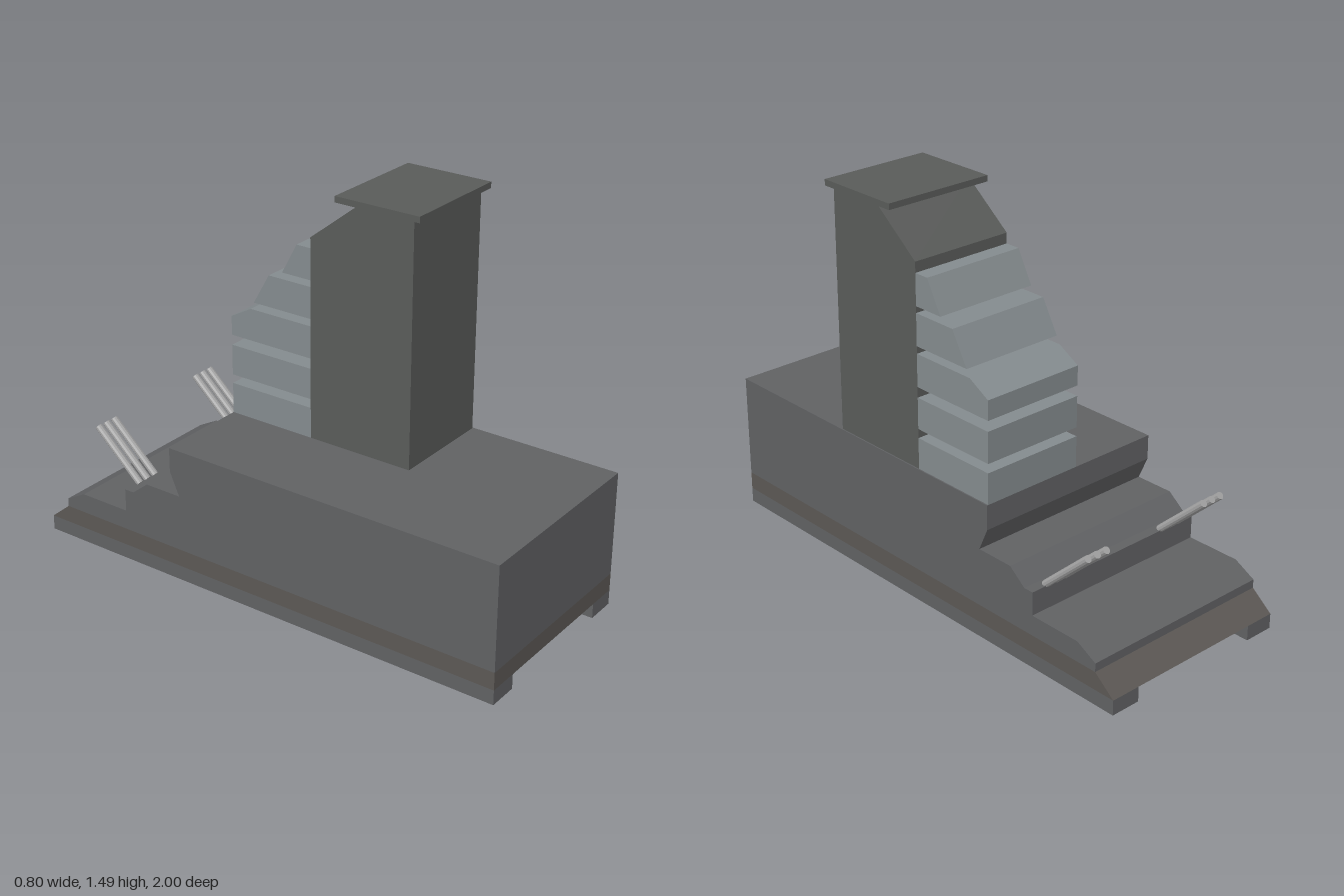
import * as THREE from 'three';

const mat = (color) => new THREE.MeshStandardMaterial({ color, flatShading: true });
const hullGrey = mat(0x606163);
const skirtBrown = mat(0x5c5854);
const towerGrey = mat(0x595b59);
const slatGrey = mat(0x848b8e);
const tubeGrey = mat(0xa3a3a3);

// Extrudes a side profile of [z, y] points across the width x0..x1
function slab(name, profile, x0, x1, material) {
  const shape = new THREE.Shape(profile.map(([z, y]) => new THREE.Vector2(z, y)));
  const geo = new THREE.ExtrudeGeometry(shape, { depth: x1 - x0, bevelEnabled: false });
  geo.rotateY(-Math.PI / 2).translate(x1, 0, 0);
  const mesh = new THREE.Mesh(geo, material);
  mesh.name = name;
  return mesh;
}

// Round bar between two points
function bar(name, a, b, radius, material) {
  const dir = b.clone().sub(a);
  const mesh = new THREE.Mesh(new THREE.CylinderGeometry(radius, radius, dir.length(), 10), material);
  mesh.position.copy(a).add(b).multiplyScalar(0.5);
  mesh.quaternion.setFromUnitVectors(new THREE.Vector3(0, 1, 0), dir.normalize());
  mesh.name = name;
  return mesh;
}

export function createModel() {
  const model = new THREE.Group();
  model.name = 'steppedTower';
  const L = -0.4, R = 0.39;

  // Ground skids along both sides
  const skid = [[1, 0], [1, 0.058], [-1, 0.058], [-1, 0]];
  model.add(slab('rightSkid', skid, L, -0.28, hullGrey));
  model.add(slab('leftSkid', skid, 0.27, R, hullGrey));

  // Lower skirt with a sloped rear lip
  model.add(slab('skirt', [[1, 0.058], [1, 0.127], [-0.915, 0.127], [-1, 0.058]], L, R, skirtBrown));

  // Main body, stepping down toward the rear under an overhanging deck
  model.add(slab('body', [
    [1, 0.127], [1, 0.535], [-0.39, 0.535], [-0.39, 0.44], [-0.35, 0.35],
    [-0.505, 0.35], [-0.575, 0.295], [-0.615, 0.295], [-0.615, 0.205],
    [-0.83, 0.205], [-0.915, 0.16], [-0.915, 0.127],
  ], L, R, hullGrey));

  // Tower with chamfered rear top edge
  const TL = -0.03, TR = 0.385;
  model.add(slab('tower', [
    [0.4, 0.535], [0.4, 1.467], [0.17, 1.467], [-0.03, 1.31], [-0.03, 0.535],
  ], TL, TR, towerGrey));

  // Flat roof cap
  model.add(slab('roofCap', [[0.43, 1.465], [0.43, 1.488], [0.083, 1.488], [0.083, 1.465]], -0.043, 0.4, towerGrey));

  // Stacked slats behind the tower: [bottom y, rear outline from bottom to top]
  const slats = [
    [[-0.39, 0.535], [-0.39, 0.655]],
    [[-0.39, 0.69], [-0.39, 0.81]],
    [[-0.39, 0.85], [-0.39, 0.925], [-0.3, 0.975]],
    [[-0.285, 1.003], [-0.215, 1.125]],
    [[-0.155, 1.15], [-0.09, 1.27]],
  ];
  const slatGroup = new THREE.Group();
  slatGroup.name = 'slats';
  slats.forEach((rear, i) => {
    const bottom = rear[0][1], top = rear[rear.length - 1][1];
    slatGroup.add(slab(`slat${i + 1}`, [[-0.03, top], [-0.03, bottom], ...rear], TL, TR, slatGrey));
  });
  model.add(slatGroup);

  // Two sets of three slanted tubes at the rear
  for (const [side, xs] of [['right', [-0.33, -0.288, -0.245]], ['left', [0.232, 0.275, 0.318]]]) {
    const set = new THREE.Group();
    set.name = `${side}Tubes`;
    xs.forEach((x, i) => set.add(bar(`tube${i + 1}`,
      new THREE.Vector3(x, 0.295, -0.603), new THREE.Vector3(x, 0.475, -0.8), 0.014, tubeGrey)));
    model.add(set);
  }
  return model;
}
